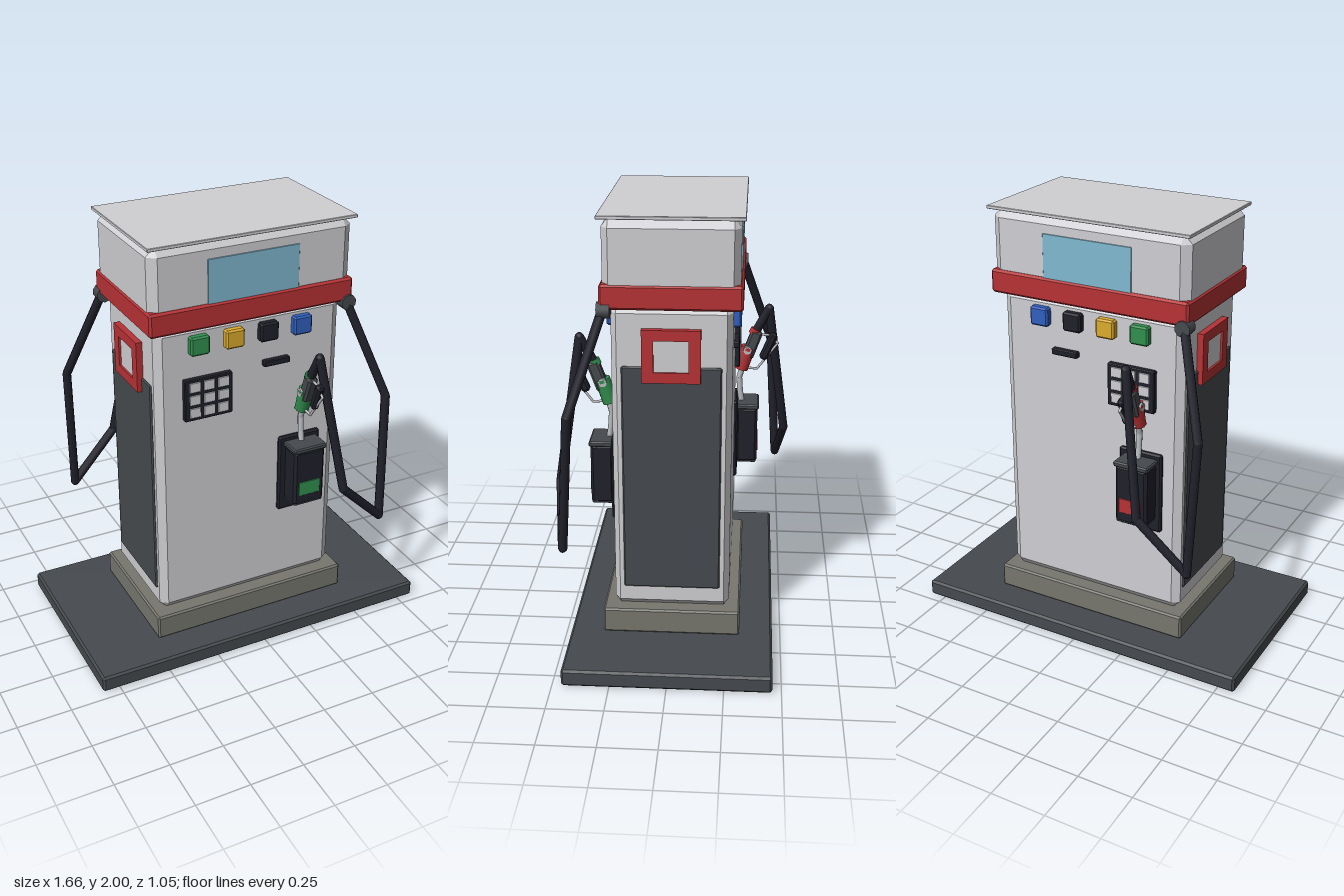
import * as THREE from 'three';
import { ConvexGeometry } from 'three/addons/geometries/ConvexGeometry.js';

const mat = (name, color) => {
  const m = new THREE.MeshStandardMaterial({ color });
  m.name = name;
  return m;
};

export function createModel() {
  const white = mat('panel white', 0xd0d0d4);
  const red = mat('red', 0xb83235);
  const grey = mat('dark grey', 0x464a4e);
  const black = mat('soft black', 0x20202b);
  const stone = mat('kerb grey', 0x77776f);
  const green = mat('green', 0x31904f);
  const yellow = mat('yellow', 0xdcab2c);
  const blue = mat('blue', 0x3060c0);
  const glass = mat('display blue', 0x80b9d0);
  const metal = mat('metal', 0xbabcc0);

  const model = new THREE.Group();
  model.name = 'fuelPump';

  const add = (parent, name, geo, material) => {
    const mesh = new THREE.Mesh(geo, material);
    mesh.name = name;
    parent.add(mesh);
    return mesh;
  };

  // Box given by its limits, with chamfered edges
  const block = (parent, name, material, [x0, x1], [y0, y1], [z0, z1], cut = 0.008) => {
    const c = Array.isArray(cut) ? cut : [cut, cut, cut];
    const h = [(x1 - x0) / 2, (y1 - y0) / 2, (z1 - z0) / 2];
    const pts = [];
    for (const sx of [-1, 1]) for (const sy of [-1, 1]) for (const sz of [-1, 1]) {
      for (let a = 0; a < 3; a++) {
        const p = [0, 1, 2].map((i) => h[i] - (i === a ? 0 : c[i]));
        pts.push(new THREE.Vector3(p[0] * sx, p[1] * sy, p[2] * sz));
      }
    }
    const mesh = add(parent, name, new ConvexGeometry(pts), material);
    mesh.position.set((x0 + x1) / 2, (y0 + y1) / 2, (z0 + z1) / 2);
    return mesh;
  };

  // Straight round bar between two points
  const bar = (parent, name, material, a, b, r, r2 = r, sides = 8) => {
    const p = new THREE.Vector3(...a), q = new THREE.Vector3(...b);
    const d = q.clone().sub(p);
    const mesh = add(parent, name, new THREE.CylinderGeometry(r2, r, d.length(), sides), material);
    mesh.position.copy(p).add(q).multiplyScalar(0.5);
    mesh.quaternion.setFromUnitVectors(new THREE.Vector3(0, 1, 0), d.normalize());
    return mesh;
  };

  // Chain of bars with rounded joints
  const chain = (parent, name, material, pts, r) => {
    const g = new THREE.Group();
    g.name = name;
    parent.add(g);
    pts.forEach((p, i) => {
      if (i) bar(g, name + 'Segment', material, pts[i - 1], p, r);
      if (i && i < pts.length - 1) {
        add(g, name + 'Joint', new THREE.SphereGeometry(r, 8, 6), material).position.set(...p);
      }
    });
  };

  // Cabinet
  block(model, 'island', grey, [-0.83, 0.83], [0, 0.078], [-0.46, 0.46], 0.01);
  block(model, 'plinth', stone, [-0.49, 0.49], [0.078, 0.195], [-0.31, 0.31], 0.008);
  block(model, 'cabinet', white, [-0.45, 0.45], [0.195, 1.615], [-0.26, 0.26], [0.035, 0.033, 0.025]);
  block(model, 'redBand', red, [-0.487, 0.487], [1.605, 1.713], [-0.302, 0.302], 0.01);
  block(model, 'head', white, [-0.48, 0.48], [1.66, 1.988], [-0.29, 0.29], [0.04, 0.04, 0.03]);
  block(model, 'roof', white, [-0.49, 0.49], [1.985, 2], [-0.307, 0.307], 0.002);

  // Side panels and framed signs
  for (const s of [-1, 1]) {
    const side = new THREE.Group();
    side.name = s > 0 ? 'leftSide' : 'rightSide';
    side.rotation.y = s > 0 ? 0 : Math.PI;
    model.add(side);
    block(side, 'sidePanel', grey, [0.43, 0.458], [0.297, 1.35], [-0.216, 0.216], 0.006);
    const frame = new THREE.Shape();
    frame.moveTo(-0.126, -0.117).lineTo(0.126, -0.117).lineTo(0.126, 0.117).lineTo(-0.126, 0.117).closePath();
    const hole = new THREE.Path();
    hole.moveTo(-0.075, -0.07).lineTo(-0.075, 0.07).lineTo(0.075, 0.07).lineTo(0.075, -0.07).closePath();
    frame.holes.push(hole);
    const sign = add(side, 'signFrame', new THREE.ExtrudeGeometry(frame, { depth: 0.03, bevelEnabled: false }), red);
    sign.rotation.y = Math.PI / 2;
    sign.position.set(0.449, 1.402, 0);
    block(side, 'signFace', white, [0.45, 0.469], [1.33, 1.474], [-0.077, 0.077], 0.001);
  }

  // Controls, mirrored front to back
  for (const s of [1, -1]) {
    const face = new THREE.Group();
    face.name = s > 0 ? 'frontControls' : 'backControls';
    model.add(face);
    const plate = (name, material, x, y, z0, z1, cut) =>
      block(face, name, material, x, y, s > 0 ? [z0, z1] : [-z1, -z0], cut);
    plate('display', glass, [-0.216, 0.216], [1.7, 1.908], 0.286, 0.294, 0.001);
    [green, yellow, black, blue].forEach((m, i) => {
      const x = -0.251 + i * 0.1665;
      plate('gradeButton', m, [x - 0.045, x + 0.045], [1.482, 1.569], 0.25, 0.293, 0.008);
    });
    plate('cardSlot', black, [0.06, 0.19], [1.357, 1.386], 0.25, 0.285, 0.004);
    plate('keypad', black, [-0.325, -0.095], [1.174, 1.372], 0.25, 0.284, 0.004);
    for (let r = 0; r < 3; r++) for (let c = 0; c < 3; c++) {
      const x = -0.277 + c * 0.068, y = 1.213 + r * 0.061;
      plate('key', white, [x - 0.026, x + 0.026], [y - 0.023, y + 0.023], 0.27, 0.288, 0.002);
    }
  }

  // Holster, nozzle and hose: one set each side, turned half round
  for (const [name, colour, turn] of [['front', green, 0], ['back', red, Math.PI]]) {
    const g = new THREE.Group();
    g.name = name + 'Dispenser';
    g.rotation.y = turn;
    model.add(g);
    const X = 0.255;

    block(g, 'holsterPlate', black, [0.15, 0.362], [0.59, 0.978], [0.25, 0.277], 0.008);
    block(g, 'holster', black, [0.18, 0.338], [0.655, 0.935], [0.27, 0.373], 0.012);
    block(g, 'holsterRim', grey, [0.174, 0.344], [0.93, 0.955], [0.27, 0.379], 0.006);
    block(g, 'holsterFoot', grey, [0.184, 0.334], [0.652, 0.668], [0.27, 0.369], 0.005);
    block(g, 'holsterLabel', colour, [0.203, 0.312], [0.708, 0.777], [0.37, 0.377], 0.001);

    chain(g, 'spout', metal, [[X, 0.93, 0.297], [X, 1.0, 0.286], [X, 1.07, 0.281], [X, 1.14, 0.3]], 0.014);
    bar(g, 'nozzleBody', colour, [X, 1.115, 0.288], [X, 1.225, 0.322], 0.034, 0.036, 10);
    const valve = block(g, 'valveBlock', grey, [X - 0.025, X + 0.025], [1.17, 1.31], [0.312, 0.368], 0.01);
    valve.rotation.x = 0.35;
    bar(g, 'valveCap', metal, [X - 0.034, 1.215, 0.318], [X + 0.034, 1.215, 0.318], 0.02, 0.02, 10);
    bar(g, 'splashCollar', colour, [X, 1.29, 0.345], [X, 1.315, 0.357], 0.025);
    const grip = block(g, 'grip', black, [X - 0.018, X + 0.018], [1.16, 1.3], [0.398, 0.438], 0.01);
    grip.rotation.x = 0.4;
    chain(g, 'triggerGuard', metal, [[X, 1.12, 0.31], [X, 1.115, 0.365], [X, 1.245, 0.462], [X, 1.285, 0.42], [X, 1.29, 0.36]], 0.006);

    chain(g, 'hose', black, [
      [X, 1.29, 0.35], [0.26, 1.418, 0.418], [0.36, 0.775, 0.505],
      [0.59, 0.55, 0.47], [0.608, 1.165, 0.432], [0.465, 1.6, 0.288],
    ], 0.021);
    bar(g, 'hoseSwivel', grey, [0.465, 1.6, 0.255], [0.465, 1.6, 0.312], 0.036, 0.036, 10);
  }

  return model;
}
